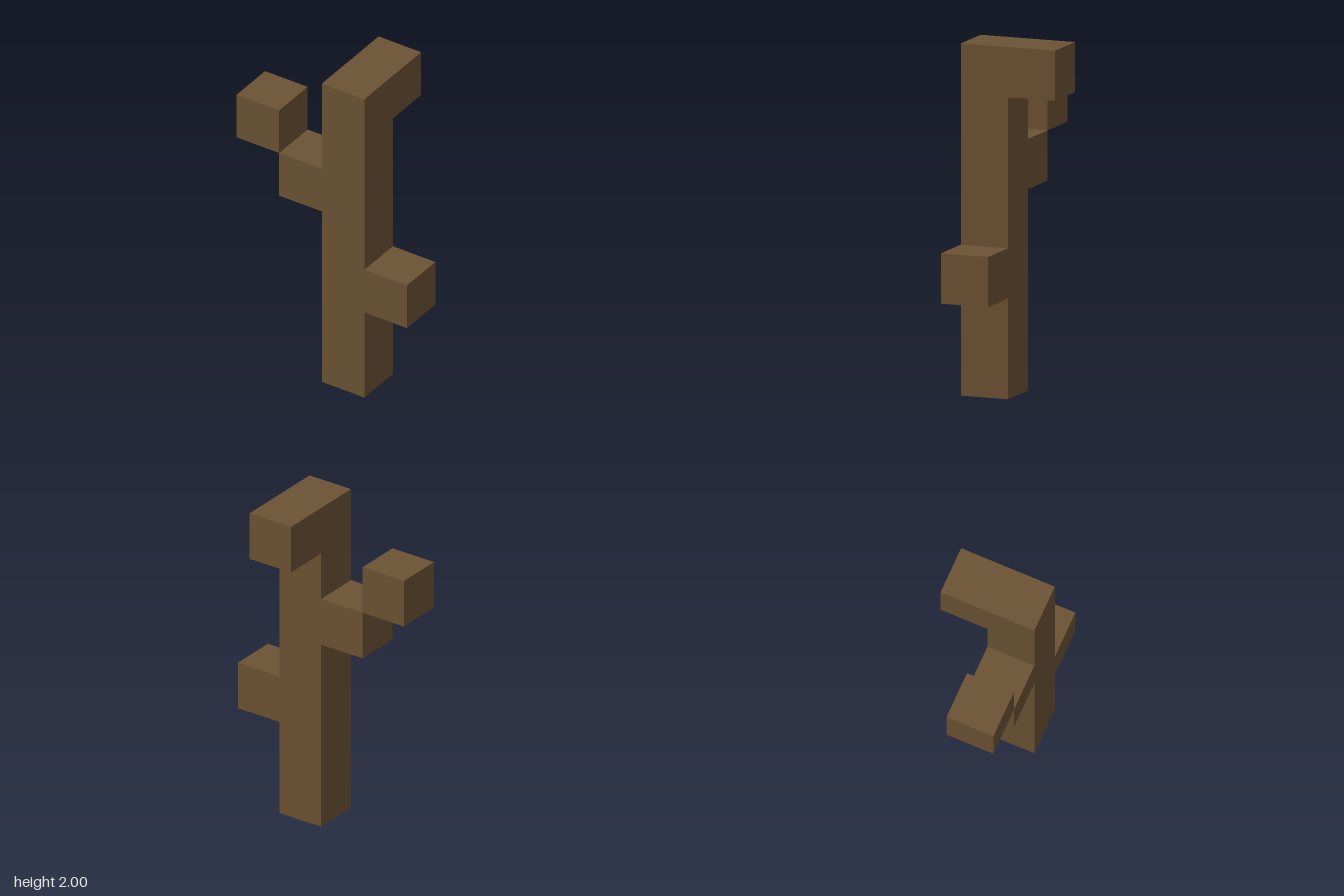
import * as THREE from 'three';
import { mergeGeometries } from 'three/addons/utils/BufferGeometryUtils.js';

const U = 2 / 7; // edge of one cube; the model is seven cubes tall

// Cubes of each part, as grid positions of their low corners
const PARTS = {
  trunk: Array.from({ length: 7 }, (_, y) => [0, y, 0]),
  leftBranch: [[1, 2, 0]],
  rightBranch: [[-1, 4, 0]],
  rightBranchTip: [[-2, 5, 0]],
  rearBranch: [[0, 6, -1]],
};

const DIRECTIONS = [[1, 0, 0], [-1, 0, 0], [0, 1, 0], [0, -1, 0], [0, 0, 1], [0, 0, -1]];
const filled = new Set(Object.values(PARTS).flat().map(String));

// One square on the side of a cube that faces the given direction
function cubeFace(cell, dir) {
  const normal = new THREE.Vector3(...dir);
  const turn = new THREE.Quaternion().setFromUnitVectors(new THREE.Vector3(0, 0, 1), normal);
  const centre = new THREE.Vector3(...cell).addScalar(0.5).addScaledVector(normal, 0.5).multiplyScalar(U);
  return new THREE.PlaneGeometry(U, U).applyQuaternion(turn).translate(centre.x, centre.y, centre.z);
}

// Only the outer sides are kept, so the joints between parts stay hollow
function partGeometry(cells) {
  const faces = [];
  for (const cell of cells) {
    for (const dir of DIRECTIONS) {
      const neighbour = cell.map((v, i) => v + dir[i]);
      if (!filled.has(String(neighbour))) faces.push(cubeFace(cell, dir));
    }
  }
  return mergeGeometries(faces);
}

export function createModel() {
  const bark = new THREE.MeshStandardMaterial({ color: 0x6b5233 });
  bark.name = 'bark brown';

  const model = new THREE.Group();
  model.name = 'branchingTrunk';
  for (const [name, cells] of Object.entries(PARTS)) {
    const mesh = new THREE.Mesh(partGeometry(cells), bark);
    mesh.name = name;
    model.add(mesh);
  }
  return model;
}
